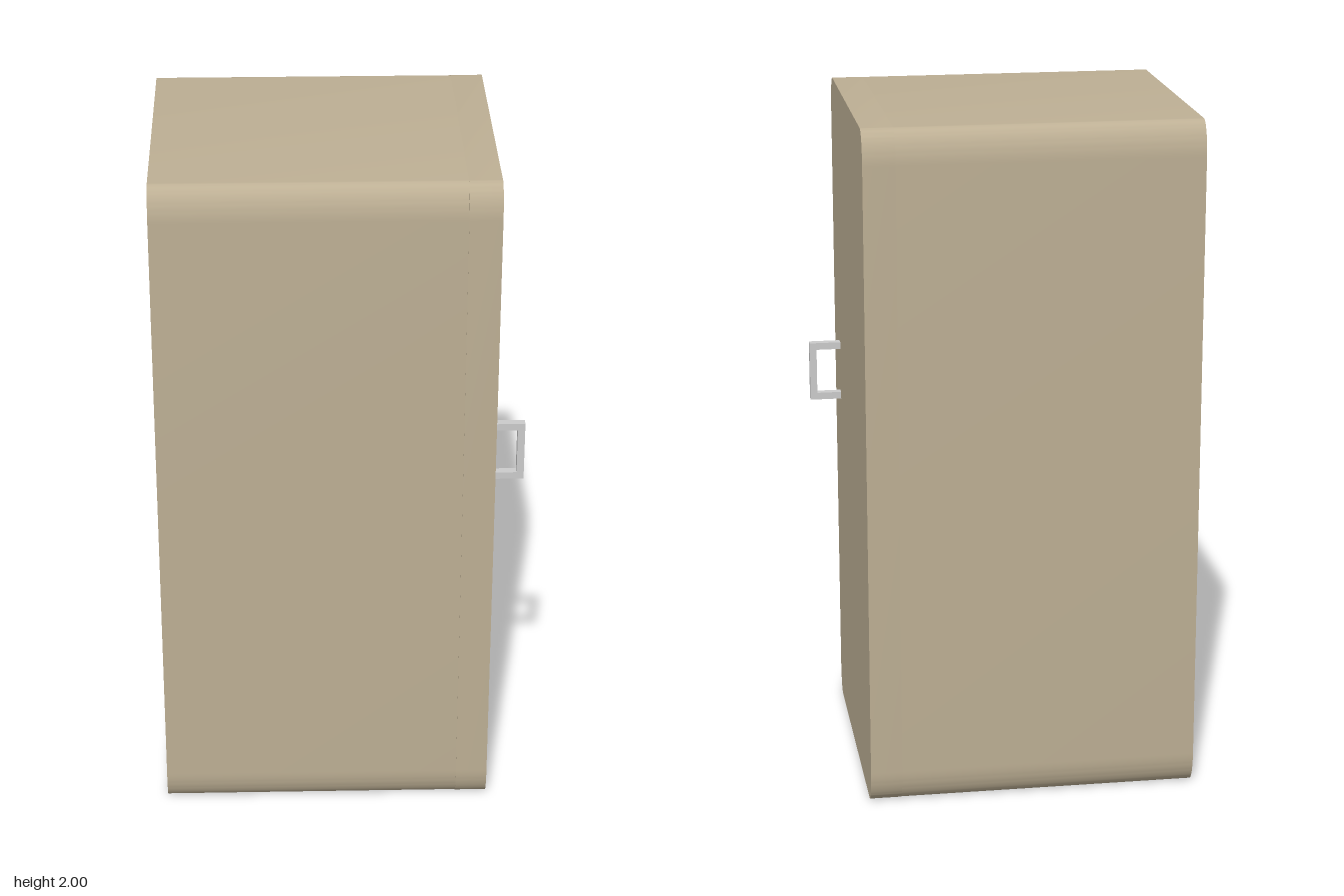
import * as THREE from 'three';
import { toCreasedNormals } from 'three/addons/utils/BufferGeometryUtils.js';

const H = 2, CORNER_Z = 0.05, CORNER_Y = 0.1;

// Upright slab with elliptical corners, running along x from x0 to x1
function roundedSlab(x0, x1, halfDepth) {
  const s = new THREE.Shape();
  const cz = halfDepth - CORNER_Z, cy = H - CORNER_Y;
  const q = Math.PI / 2;
  s.moveTo(-cz, 0);
  s.lineTo(cz, 0);
  s.absellipse(cz, CORNER_Y, CORNER_Z, CORNER_Y, -q, 0, false);
  s.lineTo(halfDepth, cy);
  s.absellipse(cz, cy, CORNER_Z, CORNER_Y, 0, q, false);
  s.lineTo(-cz, H);
  s.absellipse(-cz, cy, CORNER_Z, CORNER_Y, q, 2 * q, false);
  s.lineTo(-halfDepth, CORNER_Y);
  s.absellipse(-cz, CORNER_Y, CORNER_Z, CORNER_Y, 2 * q, 3 * q, false);
  const g = new THREE.ExtrudeGeometry(s, { depth: x1 - x0, bevelEnabled: false, curveSegments: 10 });
  g.rotateY(q);
  g.translate(x0, 0, 0);
  return toCreasedNormals(g, Math.PI / 6);
}

// Square-cornered pull: a C-shaped outline given thickness along z
function pullHandle(x0, x1, y0, y1, bar, z0, z1) {
  const s = new THREE.Shape([
    [x0, y0], [x1, y0], [x1, y1], [x0, y1],
    [x0, y1 - bar], [x1 - bar, y1 - bar], [x1 - bar, y0 + bar], [x0, y0 + bar],
  ].map(([x, y]) => new THREE.Vector2(x, y)));
  const g = new THREE.ExtrudeGeometry(s, { depth: z1 - z0, bevelEnabled: false });
  g.translate(0, 0, z0);
  return g;
}

export function createModel() {
  const group = new THREE.Group();
  group.name = 'cabinet';
  const tan = new THREE.MeshStandardMaterial({ color: 0xbdaf94 });
  const grey = new THREE.MeshStandardMaterial({ color: 0xcccccc });

  const add = (name, geometry, material) => {
    const mesh = new THREE.Mesh(geometry, material);
    mesh.name = name;
    group.add(mesh);
  };

  // Case and the door closing its +x side
  add('cabinetBody', roundedSlab(-0.53, 0.34, 0.446), tan);
  add('door', roundedSlab(0.34, 0.432, 0.448), tan);

  // Handle near the front edge of the door
  add('doorHandle', pullHandle(0.43, 0.526, 1.027, 1.206, 0.021, 0.285, 0.31), grey);

  return group;
}
